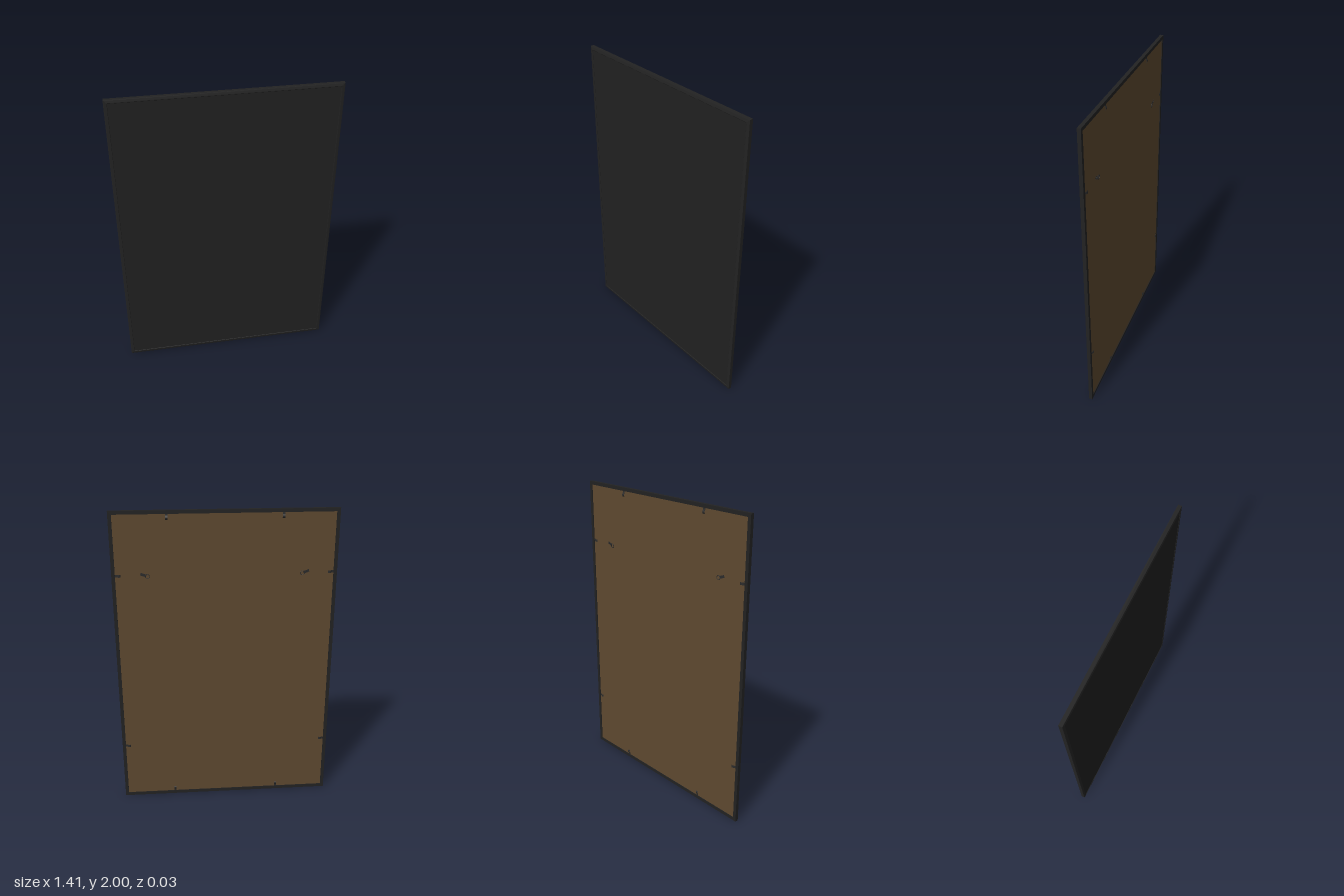
import * as THREE from 'three';

const W = 0.707, H = 1; // half width and half height
const BOARD_Z = -0.008;

const frameBlack = new THREE.MeshStandardMaterial({ color: 0x222222 });
frameBlack.name = 'frame black';
const panelBlack = new THREE.MeshStandardMaterial({ color: 0x212121 });
panelBlack.name = 'panel black';
const boardBrown = new THREE.MeshStandardMaterial({ color: 0x5f4930 });
boardBrown.name = 'backing brown';
const metalDark = new THREE.MeshStandardMaterial({ color: 0x2b2b2b });
metalDark.name = 'dark metal';

function add(parent, name, geometry, material, x = 0, y = 0, z = 0) {
  const mesh = new THREE.Mesh(geometry, material);
  mesh.name = name;
  mesh.position.set(x, y, z);
  parent.add(mesh);
  return mesh;
}

// Sweep a closed [inset, z] profile round the rectangle with mitred corners
function mitredFrame(profile) {
  const corners = [[-1, -1], [1, -1], [1, 1], [-1, 1]];
  const at = (c, [inset, z]) => [c[0] * (W - inset), c[1] * (H - inset), z];
  const pos = [];
  corners.forEach((c, i) => {
    const d = corners[(i + 1) % 4];
    profile.forEach((p, j) => {
      const q = profile[(j + 1) % profile.length];
      pos.push(...at(c, p), ...at(d, p), ...at(d, q));
      pos.push(...at(c, p), ...at(d, q), ...at(c, q));
    });
  });
  const g = new THREE.BufferGeometry();
  g.setAttribute('position', new THREE.Float32BufferAttribute(pos, 3));
  g.computeVertexNormals();
  return g;
}

// Thin bent tab: runs along +x, humps towards -z
function tabGeometry() {
  const s = new THREE.Shape();
  s.moveTo(0, 0);
  s.lineTo(0.012, 0.001);
  s.quadraticCurveTo(0.026, 0.0135, 0.036, 0.003);
  s.lineTo(0.034, 0.002);
  s.quadraticCurveTo(0.026, 0.011, 0.013, -0.0005);
  s.closePath();
  const g = new THREE.ExtrudeGeometry(s, { depth: 0.016, bevelEnabled: false, curveSegments: 6 });
  g.translate(0, 0, -0.008);
  g.rotateX(-Math.PI / 2);
  return g;
}

// Strap, screw and ring; the ring lies towards +x
function hanger() {
  const g = new THREE.Group();
  add(g, 'hangerStrap', new THREE.BoxGeometry(0.036, 0.016, 0.002), metalDark, -0.012, 0, -0.001);
  const screw = new THREE.CylinderGeometry(0.006, 0.006, 0.002, 12).rotateX(Math.PI / 2);
  add(g, 'hangerScrew', screw, metalDark, -0.02, 0, -0.003);
  add(g, 'hangerRing', new THREE.TorusGeometry(0.013, 0.002, 6, 18), metalDark, 0.015, 0, -0.0025);
  const barrel = new THREE.CylinderGeometry(0.003, 0.003, 0.018, 8);
  add(g, 'hangerBarrel', barrel, metalDark, 0.004, 0, -0.0025);
  return g;
}

export function createModel() {
  const model = new THREE.Group();
  model.name = 'pictureFrame';
  model.position.y = H;
  const root = new THREE.Group();
  root.add(model);

  // Moulding with a sloped face and a small inner lip
  add(model, 'frameMoulding', mitredFrame([
    [0, -0.012], [0, 0.0105], [0.003, 0.0115], [0.017, 0.0145],
    [0.02, 0.0145], [0.022, 0.013], [0.022, -0.012],
  ]), frameBlack);

  // Front panel and backing board, tucked into the moulding
  const pw = 2 * (W - 0.02), ph = 2 * (H - 0.02);
  add(model, 'frontPanel', new THREE.BoxGeometry(pw, ph, 0.008), panelBlack, 0, 0, 0.007);
  add(model, 'backingBoard', new THREE.BoxGeometry(pw, ph, 0.01), boardBrown, 0, 0, BOARD_Z + 0.005);

  // Retaining tabs: two per side
  const tab = tabGeometry();
  const ex = W - 0.021, ey = H - 0.021;
  for (const s of [-1, 1]) {
    for (const t of [-1, 1]) {
      add(model, 'sideTab', tab, metalDark, s * ex, t * 0.6, BOARD_Z).rotation.z = s > 0 ? Math.PI : 0;
      add(model, 'edgeTab', tab, metalDark, s * 0.357, t * ey, BOARD_Z).rotation.z = -t * Math.PI / 2;
    }
    // Tilted ring hanger, inner end lower
    const h = hanger();
    h.name = s > 0 ? 'leftHanger' : 'rightHanger';
    h.position.set(s * 0.5, 0.6, BOARD_Z);
    h.rotation.z = s > 0 ? Math.PI + 0.35 : -0.35;
    model.add(h);
  }
  return root;
}
